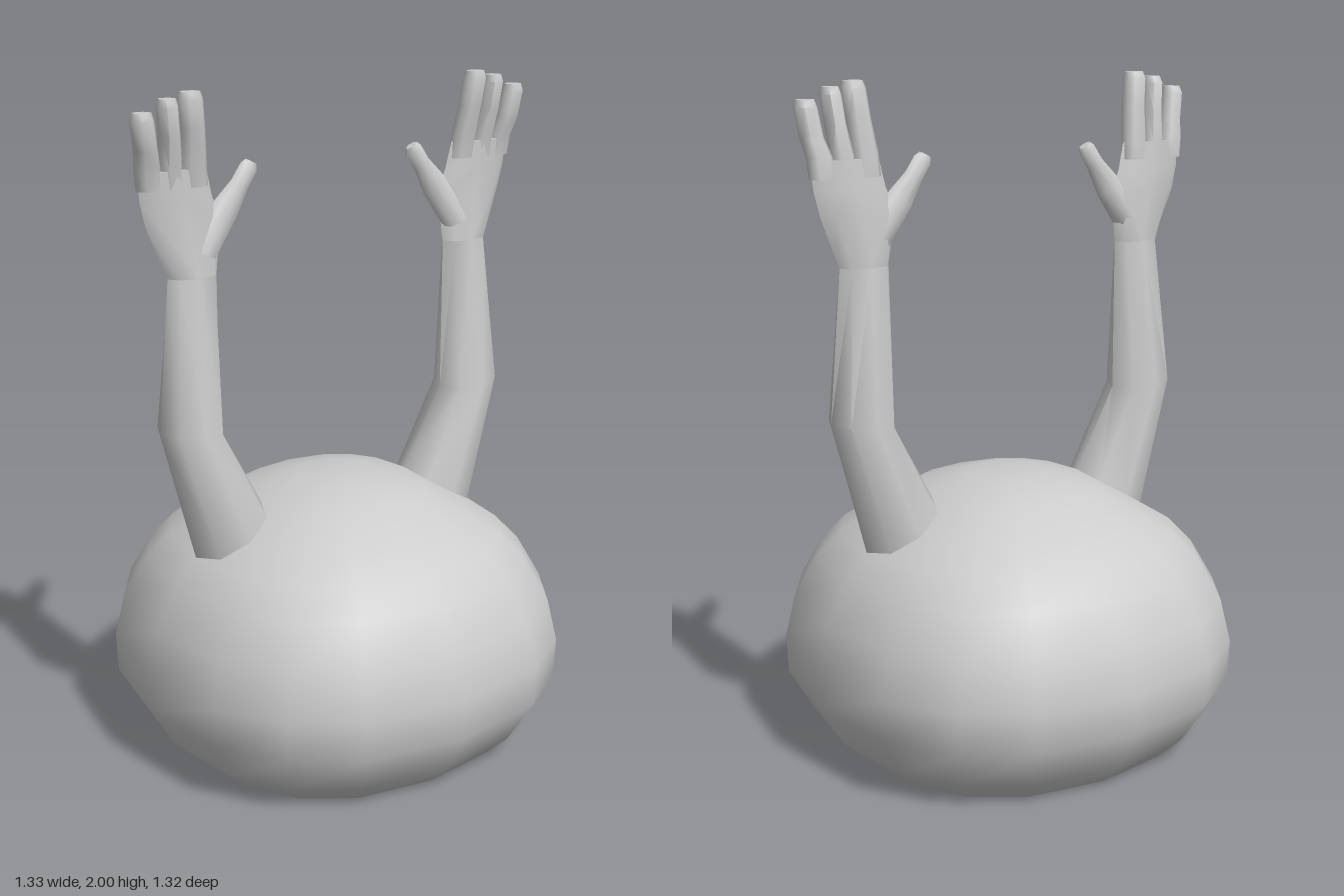
import * as THREE from 'three';
import { toCreasedNormals } from 'three/addons/utils/BufferGeometryUtils.js';

const material = new THREE.MeshStandardMaterial({ color: 0xcccccc });

// Unit cross-sections in (x, z)
const octagon = Array.from({ length: 8 }, (_, i) => {
  const t = (i * Math.PI) / 4;
  return [Math.cos(t), Math.sin(t)];
});
const fingerRing = [[1, 0.4], [0.55, 1], [-0.55, 1], [-1, 0.4], [-1, -0.4], [-0.55, -1], [0.55, -1], [1, -0.4]];
const bodyRing = [];
for (let q = 0; q < 4; q++) {
  const c = Math.round(Math.cos(q * Math.PI / 2)), s = Math.round(Math.sin(q * Math.PI / 2));
  for (const [x, z] of [[1, 0], [0.925, 0.462], [0.742, 0.742], [0.462, 0.925]]) {
    bodyRing.push([x * c - z * s, x * s + z * c]);
  }
}

// Closed skin over sections [x, y, z, halfWidth, halfDepth, tilt]; side -1 mirrors in x
function loft(name, ring, sections, side = 1) {
  const n = ring.length, pos = [], index = [];
  for (const [x, y, z, w, d, tilt = 0] of sections) {
    for (const [u, v] of ring) {
      pos.push(side * (x + u * w * Math.cos(tilt)), y + u * w * Math.sin(tilt), z + v * d);
    }
  }
  const tri = (a, b, c) => (side > 0 ? index.push(a, b, c) : index.push(a, c, b));
  const last = sections.length - 1;
  for (let k = 0; k < last; k++) {
    for (let i = 0; i < n; i++) {
      const a = k * n + i, b = k * n + (i + 1) % n;
      tri(a, a + n, b);
      tri(b, a + n, b + n);
    }
  }
  // End caps
  for (const k of [0, last]) {
    const centre = pos.length / 3, [x, y, z] = sections[k];
    pos.push(side * x, y, z);
    for (let i = 0; i < n; i++) {
      const a = k * n + i, b = k * n + (i + 1) % n;
      if (k === 0) tri(centre, a, b);
      else tri(centre, b, a);
    }
  }
  const geometry = new THREE.BufferGeometry();
  geometry.setAttribute('position', new THREE.Float32BufferAttribute(pos, 3));
  geometry.setIndex(index);
  const mesh = new THREE.Mesh(toCreasedNormals(geometry, 0.95), material);
  mesh.name = name;
  return mesh;
}

function createArm(side) {
  const arm = new THREE.Group();
  arm.name = side > 0 ? 'leftArm' : 'rightArm';

  // Upper arm, elbow and forearm
  arm.add(loft('armSleeve', octagon, [
    [0.352, 0.65, 0, 0.136, 0.12, -0.46],
    [0.375, 0.71, 0, 0.13, 0.116, -0.48],
    [0.498, 1.04, 0, 0.098, 0.096, 0.1],
    [0.478, 1.49, 0, 0.078, 0.044],
  ], side));

  // Palm
  arm.add(loft('palm', octagon, [
    [0.478, 1.49, 0, 0.078, 0.044],
    [0.498, 1.64, -0.006, 0.118, 0.034],
    [0.52, 1.71, -0.004, 0.112, 0.031],
    [0.533, 1.79, 0, 0.107, 0.029],
  ], side));

  // Thumb
  arm.add(loft('thumb', octagon, [
    [0.45, 1.55, 0, 0.05, 0.036, 0.4],
    [0.365, 1.665, -0.004, 0.045, 0.028, 0.61],
    [0.318, 1.73, -0.004, 0.03, 0.022, 0.61],
    [0.288, 1.775, -0.004, 0.029, 0.02, 0.55],
    [0.279, 1.79, -0.004, 0.02, 0.014, 0.5],
  ], side));

  // Fingers: base x, tip x, tip height, half width
  const fingers = [[0.464, 0.487, 2.0, 0.034], [0.535, 0.557, 1.985, 0.028], [0.603, 0.634, 1.953, 0.031]];
  for (const [x0, x1, top, w] of fingers) {
    const mid = x0 + (x1 - x0) * 0.6;
    arm.add(loft('finger', fingerRing, [
      [x0, 1.74, -0.002, w + 0.004, 0.027],
      [x0 + (x1 - x0) * 0.2, 1.8, 0.002, w + 0.004, 0.029],
      [mid, top - 0.1, 0.02, w, 0.031],
      [x1, top - 0.02, 0.028, w, 0.03],
      [x1, top, 0.03, w * 0.8, 0.023],
    ], side));
  }
  return arm;
}

export function createModel() {
  const model = new THREE.Group();
  model.name = 'model';

  // Round body with a flat base: [radius, height]
  const profile = [[0.51, 0], [0.58, 0.07], [0.655, 0.2], [0.66, 0.32], [0.63, 0.45], [0.56, 0.575],
    [0.49, 0.65], [0.4, 0.705], [0.26, 0.785], [0.12, 0.82]];
  model.add(loft('body', bodyRing, profile.map(([r, y]) => [0, y, 0, r, r])));

  model.add(createArm(1), createArm(-1));
  return model;
}
